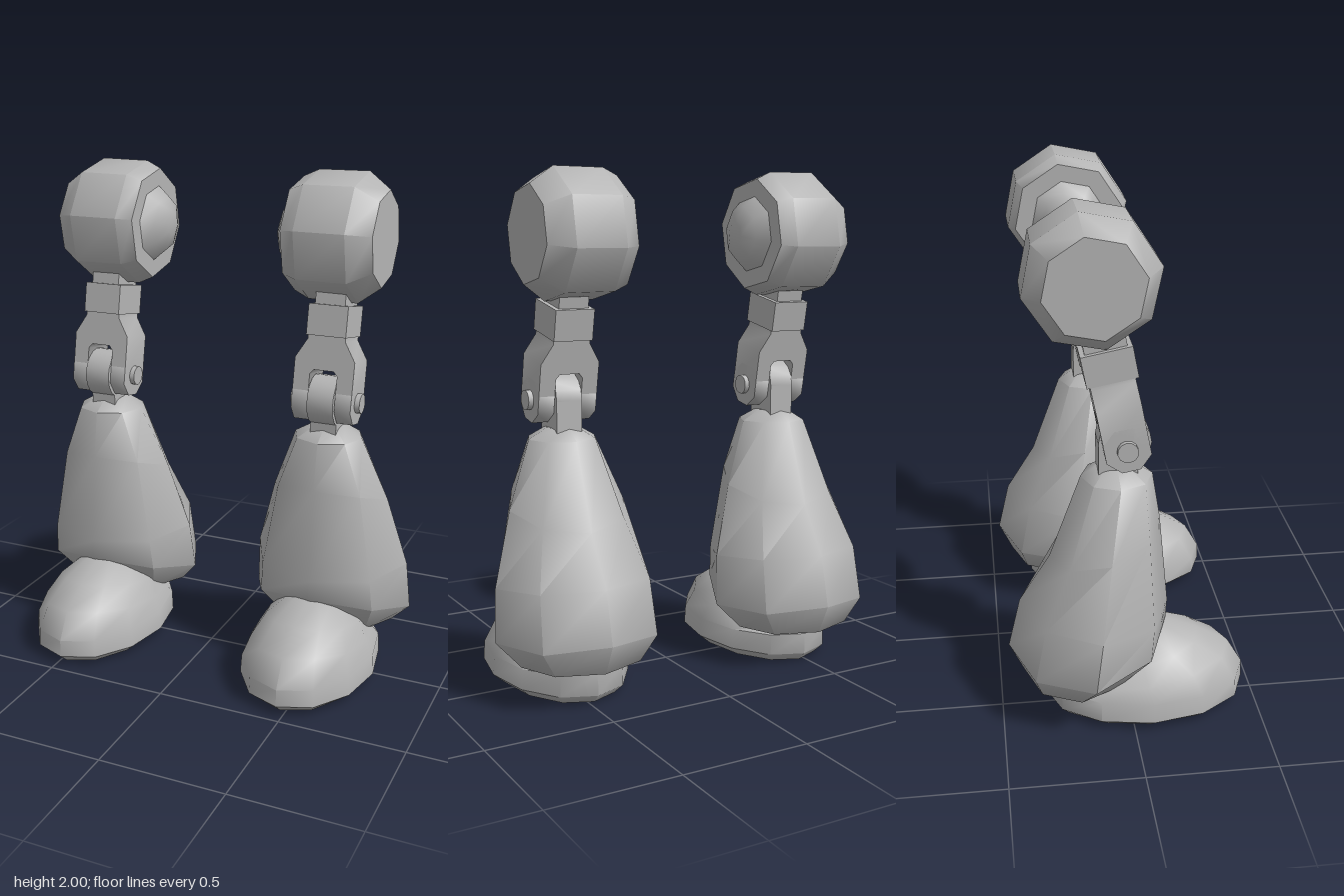
import * as THREE from 'three';
import { toCreasedNormals } from 'three/addons/utils/BufferGeometryUtils.js';

const grey = new THREE.MeshStandardMaterial({ color: 0xb4b4b4 });
grey.name = 'grey';

function part(name, geometry, x = 0, y = 0, z = 0) {
  const mesh = new THREE.Mesh(toCreasedNormals(geometry, 0.85), grey);
  mesh.name = name;
  mesh.position.set(x, y, z);
  return mesh;
}

// Cylinder lying along x
function crossPin(radius, length, sides, turn = 0) {
  return new THREE.CylinderGeometry(radius, radius, length, sides).rotateY(turn).rotateZ(Math.PI / 2);
}

// Closed loft through slanted oval rings, listed bottom to top:
// [front y, back y, front z, back z, half width, side sag]
function loft(rings, sides) {
  const pos = [], index = [];
  for (const [yf, yb, zf, zb, rx, sag = 0] of rings) {
    for (let i = 0; i < sides; i++) {
      const a = (i / sides) * Math.PI * 2, t = (1 + Math.cos(a)) / 2;
      pos.push(rx * Math.sin(a), yb + (yf - yb) * t - sag * Math.sin(a) ** 2, zb + (zf - zb) * t);
    }
  }
  for (let r = 0; r < rings.length - 1; r++) {
    for (let i = 0; i < sides; i++) {
      const j = (i + 1) % sides, a = r * sides, b = a + sides;
      index.push(a + i, a + j, b + j, a + i, b + j, b + i);
    }
  }
  // End caps
  const top = (rings.length - 1) * sides, count = rings.length * sides;
  for (const ring of [rings[0], rings[rings.length - 1]]) {
    pos.push(0, (ring[0] + ring[1]) / 2 - (ring[5] || 0) / 2, (ring[2] + ring[3]) / 2);
  }
  for (let i = 0; i < sides; i++) {
    const j = (i + 1) % sides;
    index.push(count, j, i, count + 1, top + i, top + j);
  }
  const g = new THREE.BufferGeometry();
  g.setAttribute('position', new THREE.Float32BufferAttribute(pos, 3));
  g.setIndex(index);
  return g;
}

// Fork seen from the front, open at the bottom
function forkGeometry() {
  const half = [[0.055, 0], [0.12, 0], [0.12, 0.16], [0.075, 0.235], [0.075, 0.27]];
  const slot = [[0.04, 0.118], [0.055, 0.1]];
  const right = [...half].map(([x, y]) => new THREE.Vector2(x, y));
  const left = [...half].reverse().map(([x, y]) => new THREE.Vector2(-x, y));
  const inner = [
    ...[...slot].reverse().map(([x, y]) => new THREE.Vector2(-x, y)),
    ...slot.map(([x, y]) => new THREE.Vector2(x, y)),
  ];
  const shape = new THREE.Shape([...right, ...left, ...inner]);
  return new THREE.ExtrudeGeometry(shape, { depth: 0.165, bevelEnabled: false }).translate(0, 0, -0.0825);
}

function makeLeg(side) {
  const leg = new THREE.Group();
  leg.name = side > 0 ? 'leftLeg' : 'rightLeg';
  leg.position.x = 0.485 * side;

  // Foot
  leg.add(part('foot', loft([
    [0, 0, 0.42, -0.29, 0.22],
    [0.04, 0.035, 0.467, -0.325, 0.265],
    [0.11, 0.12, 0.465, -0.325, 0.26],
    [0.215, 0.13, 0.405, -0.29, 0.23],
    [0.285, 0.2, 0.28, -0.2, 0.19],
    [0.345, 0.3, 0.14, -0.1, 0.1],
  ], 12), -0.009 * side));

  // Flared lower leg
  leg.add(part('lowerLeg', loft([
    [0.125, 0.12, -0.07, -0.31, 0.12],
    [0.16, 0.15, 0, -0.41, 0.25],
    [0.35, 0.27, 0.15, -0.467, 0.334, 0.06],
    [0.43, 0.47, 0.155, -0.42, 0.32],
    [0.8, 0.66, 0.12, -0.3, 0.24],
    [0.985, 0.985, 0.09, -0.18, 0.138],
    [1.027, 1.027, 0.02, -0.115, 0.065],
  ], 8)));

  // Knee tongue
  leg.add(part('kneeTongue', new THREE.BoxGeometry(0.105, 0.15, 0.145), 0, 1.06, -0.045));
  leg.add(part('kneeTongueEye', crossPin(0.098, 0.105, 16), 0, 1.135, -0.02));

  // Upper leg leans back from the knee pin
  const upper = new THREE.Group();
  upper.name = 'upperLeg';
  upper.position.set(0, 1.135, -0.02);
  upper.rotation.x = -0.19;
  leg.add(upper);
  upper.add(part('kneeFork', forkGeometry()));
  for (const s of [-1, 1]) {
    upper.add(part('forkEnd', crossPin(0.09, 0.065, 8, Math.PI / 8), s * 0.0875));
  }
  upper.add(part('kneePin', crossPin(0.039, 0.28, 12)));
  upper.add(part('collar', new THREE.BoxGeometry(0.158, 0.12, 0.19), 0, 0.31, 0));
  upper.add(part('neck', new THREE.BoxGeometry(0.12, 0.12, 0.155), 0, 0.4, 0));

  // Hip ball with an inner dome and a flat outer face
  const profile = [
    [0, -0.25], [0.045, -0.25], [0.11, -0.222], [0.15, -0.175], [0.22, -0.175],
    [0.248, -0.115], [0.25, 0.085], [0.185, 0.172], [0, 0.172],
  ].map(([r, y]) => new THREE.Vector2(r, y));
  const ball = new THREE.LatheGeometry(profile, 8).rotateZ(-side * Math.PI / 2);
  upper.add(part('hipBall', ball, 0, 0.631, 0));
  return leg;
}

export function createModel() {
  const model = new THREE.Group();
  model.name = 'legs';
  model.add(makeLeg(1), makeLeg(-1));
  return model;
}
